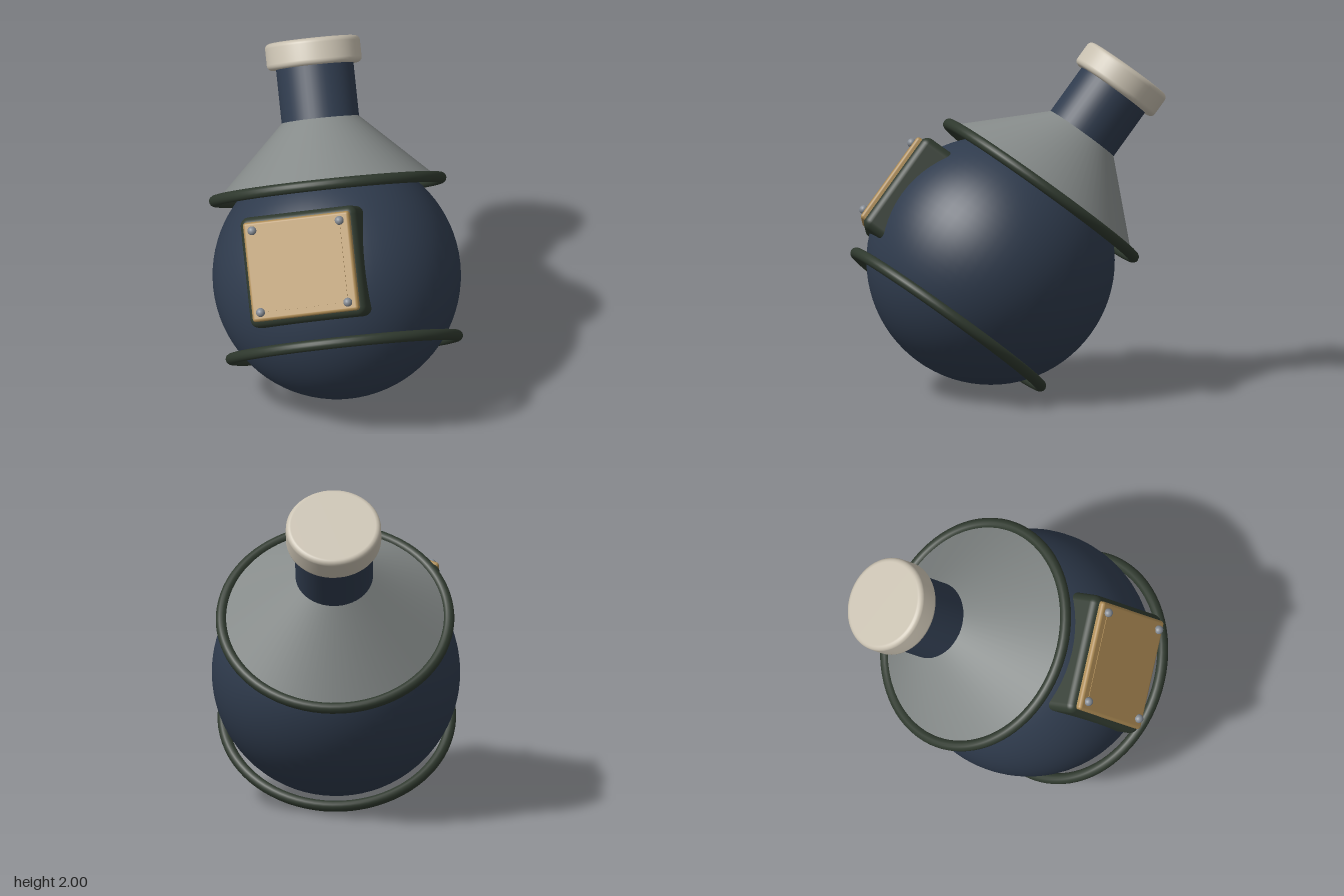
import * as THREE from 'three';
import { RoundedBoxGeometry } from 'three/addons/geometries/RoundedBoxGeometry.js';

const paint = (name, color, side = THREE.FrontSide) => {
  const m = new THREE.MeshStandardMaterial({ color, side });
  m.name = name;
  return m;
};

export function createModel() {
  const navy = paint('navy', 0x2f3b4d);
  const grey = paint('grey', 0x878c8b, THREE.DoubleSide);
  const cream = paint('cream', 0xc8c0b0);
  const green = paint('dark green', 0x2f392e);
  const gold = paint('gold', 0xad8b54);
  const steel = paint('steel', 0x858b93);

  // Everything is built upright around the ball's centre, then tilted.
  const body = new THREE.Group();
  body.name = 'flask';
  const add = (name, geometry, material, x = 0, y = 0, z = 0) => {
    const mesh = new THREE.Mesh(geometry, material);
    mesh.name = name;
    mesh.position.set(x, y, z);
    body.add(mesh);
    return mesh;
  };

  add('ball', new THREE.SphereGeometry(0.715, 64, 40), navy);

  // Neck, running from the ball into the cap
  add('neck', new THREE.CylinderGeometry(0.224, 0.224, 0.64, 48), navy, 0, 0.95, 0);

  // Open conical collar
  add('collar', new THREE.CylinderGeometry(0.22, 0.645, 0.41, 64, 1, true), grey, 0, 0.7, 0);

  // Rings above and below the middle
  for (const [name, y] of [['upperRing', 0.497], ['lowerRing', -0.418]]) {
    const ring = new THREE.TorusGeometry(0.655, 0.032, 16, 80);
    ring.rotateX(Math.PI / 2);
    add(name, ring, green, 0, y, 0);
  }

  // Cap with rounded rims
  const r = 0.275, h = 0.155, b = 0.03;
  const profile = [new THREE.Vector2(0, 0)];
  for (const [cy, start] of [[b, -Math.PI / 2], [h - b, 0]]) {
    for (let i = 0; i <= 5; i++) {
      const a = start + (i / 5) * Math.PI / 2;
      profile.push(new THREE.Vector2(r - b + b * Math.cos(a), cy + b * Math.sin(a)));
    }
  }
  profile.push(new THREE.Vector2(0, h));
  add('cap', new THREE.LatheGeometry(profile, 56), cream, 0, 1.21, 0);

  // Panel: backing pad, plate, thin raised face and corner rivets
  const py = 0.038;
  add('panelPad', new RoundedBoxGeometry(0.7, 0.64, 0.34, 5, 0.05), green, 0, py, 0.545);
  add('panelPlate', new RoundedBoxGeometry(0.64, 0.575, 0.06, 4, 0.018), gold, 0, py, 0.714);
  add('panelFace', new THREE.BoxGeometry(0.525, 0.475, 0.005), gold, 0, py, 0.745);
  for (const sx of [-1, 1]) {
    for (const sy of [-1, 1]) {
      add('rivet', new THREE.SphereGeometry(0.026, 16, 12), steel, sx * 0.263, py + sy * 0.237, 0.752);
    }
  }

  // Tilt: local y follows the neck, local z faces out of the panel
  const up = new THREE.Vector3(-0.497, 0.789, -0.362).normalize();
  const out = new THREE.Vector3(0.344, 0.562, 0.752);
  const side = new THREE.Vector3().crossVectors(up, out).normalize();
  out.crossVectors(side, up);
  body.quaternion.setFromRotationMatrix(new THREE.Matrix4().makeBasis(side, up, out));
  body.position.set(0.04, 0.77, 0);

  const model = new THREE.Group();
  model.name = 'model';
  model.add(body);
  return model;
}
